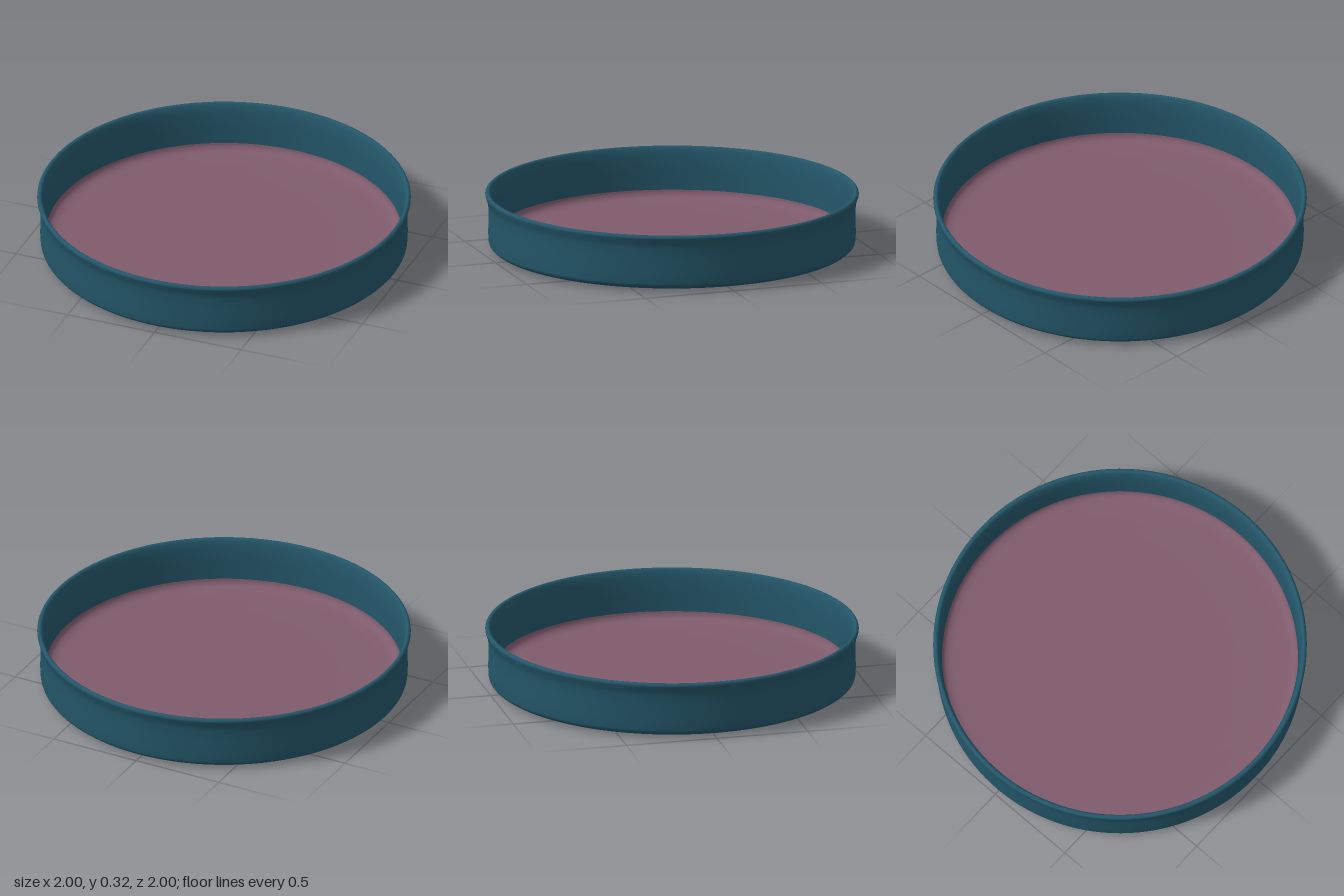
import * as THREE from 'three';

const SEGMENTS = 128;

// Spin a smoothed [radius, height] profile about the y axis.
function turned(name, points, samples, color) {
  const curve = new THREE.CatmullRomCurve3(
    points.map(([r, y]) => new THREE.Vector3(r, y, 0)), false, 'centripetal');
  const profile = curve.getPoints(samples).map((p) => new THREE.Vector2(Math.max(p.x, 0), Math.max(p.y, 0)));
  const mesh = new THREE.Mesh(
    new THREE.LatheGeometry(profile, SEGMENTS),
    new THREE.MeshStandardMaterial({ color, side: THREE.DoubleSide }));
  mesh.name = name;
  return mesh;
}

export function createModel() {
  const model = new THREE.Group();
  model.name = 'shallowDish';

  // Dish shell: slightly bowed base, upright wall, flared rounded rim and inner wall
  model.add(turned('dishShell', [
    [0, 0], [0.5, 0.001], [0.85, 0.006], [0.92, 0.01], [0.96, 0.018], [0.979, 0.035],
    [0.983, 0.06], [0.983, 0.21], [0.987, 0.255], [0.996, 0.285], [1, 0.3],
    [0.997, 0.309], [0.988, 0.315], [0.978, 0.312], [0.971, 0.3], [0.963, 0.27], [0.957, 0.21],
    [0.954, 0.12], [0.953, 0.08],
  ], 120, 0x235568));

  // Inner floor: continues the wall through a rounded corner into a nearly flat disc
  model.add(turned('dishFloor', [
    [0.953, 0.08], [0.949, 0.065], [0.938, 0.05], [0.915, 0.039],
    [0.87, 0.033], [0.75, 0.03], [0.5, 0.028], [0, 0.027],
  ], 96, 0x7f5b6c));

  return model;
}
